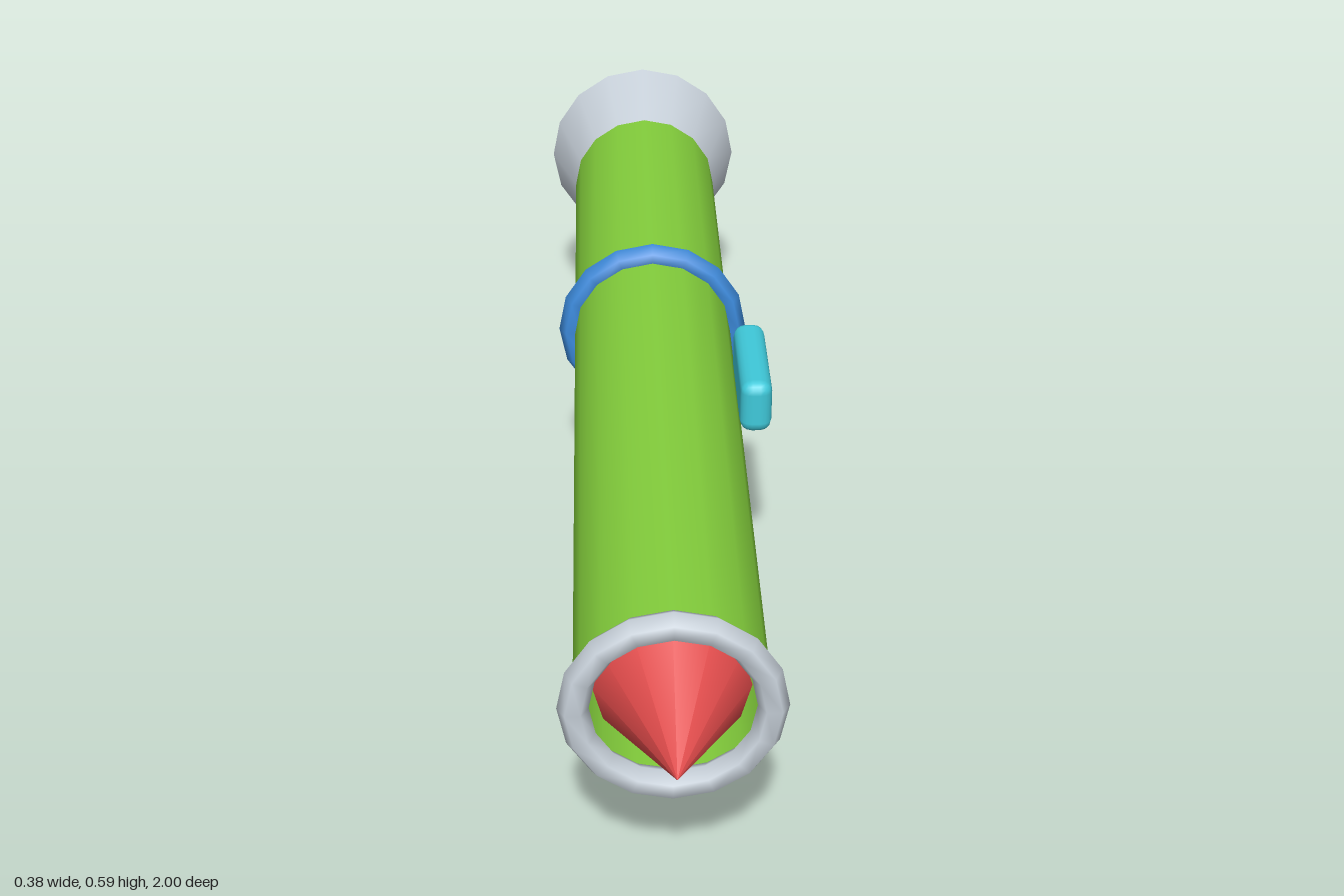
import * as THREE from 'three';
import { RoundedBoxGeometry } from 'three/addons/geometries/RoundedBoxGeometry.js';

const AXIS_Y = 0.4; // height of the barrel's centre line

function material(name, color, side = THREE.FrontSide) {
  const m = new THREE.MeshStandardMaterial({ color, side });
  m.name = name;
  return m;
}

export function createModel() {
  const group = new THREE.Group();
  group.name = 'rocketLauncher';

  const green = material('lime green', 0x84cf3c, THREE.DoubleSide);
  const grey = material('light grey', 0xc8d1da, THREE.DoubleSide);
  const red = material('red', 0xe04a4a);
  const blue = material('blue', 0x3d8bdc);
  const teal = material('teal', 0x3fc9da);
  const navy = material('dark navy', 0x2b314a);

  function add(name, geometry, mat, x, y, z) {
    const mesh = new THREE.Mesh(geometry, mat);
    mesh.name = name;
    mesh.position.set(x, y, z);
    group.add(mesh);
    return mesh;
  }

  // Round part along z; the first radius is at the front end
  function along(name, mat, rFront, rBack, zFront, zBack, sides, open) {
    const geo = new THREE.CylinderGeometry(rFront, rBack, zFront - zBack, sides, 1, open);
    geo.rotateX(Math.PI / 2);
    return add(name, geo, mat, 0, AXIS_Y, (zFront + zBack) / 2);
  }

  // Open barrel, rear flare and rocket nose
  along('barrel', green, 0.14, 0.14, 0.845, -0.85, 16, true);
  along('exhaustFlare', grey, 0.14, 0.188, -0.85, -1, 16, true);
  along('rocketNose', red, 0, 0.113, 1, 0.8, 12, false);

  // Bands around the barrel
  add('muzzleRing', new THREE.TorusGeometry(0.14, 0.0225, 6, 16), grey, 0, AXIS_Y, 0.845);
  add('barrelBand', new THREE.TorusGeometry(0.145, 0.0235, 6, 16), blue, 0, AXIS_Y, -0.24);

  // Sight box on the left side
  add('sightBox', new RoundedBoxGeometry(0.053, 0.094, 0.222, 2, 0.02), teal, 0.1615, 0.457, 0.04);

  // Slanted grips
  const rear = add('rearGrip', new RoundedBoxGeometry(0.065, 0.244, 0.088, 2, 0.025), navy, 0, 0.126, -0.078);
  rear.rotation.x = 0.25;
  const front = add('frontGrip', new RoundedBoxGeometry(0.065, 0.185, 0.083, 2, 0.025), navy, 0, 0.171, 0.285);
  front.rotation.x = 0.16;

  // Trigger guard
  const guard = add('triggerGuard', new THREE.TorusGeometry(0.046, 0.009, 6, 14), navy, 0, 0.212, 0.012);
  guard.rotation.y = Math.PI / 2;

  return group;
}
